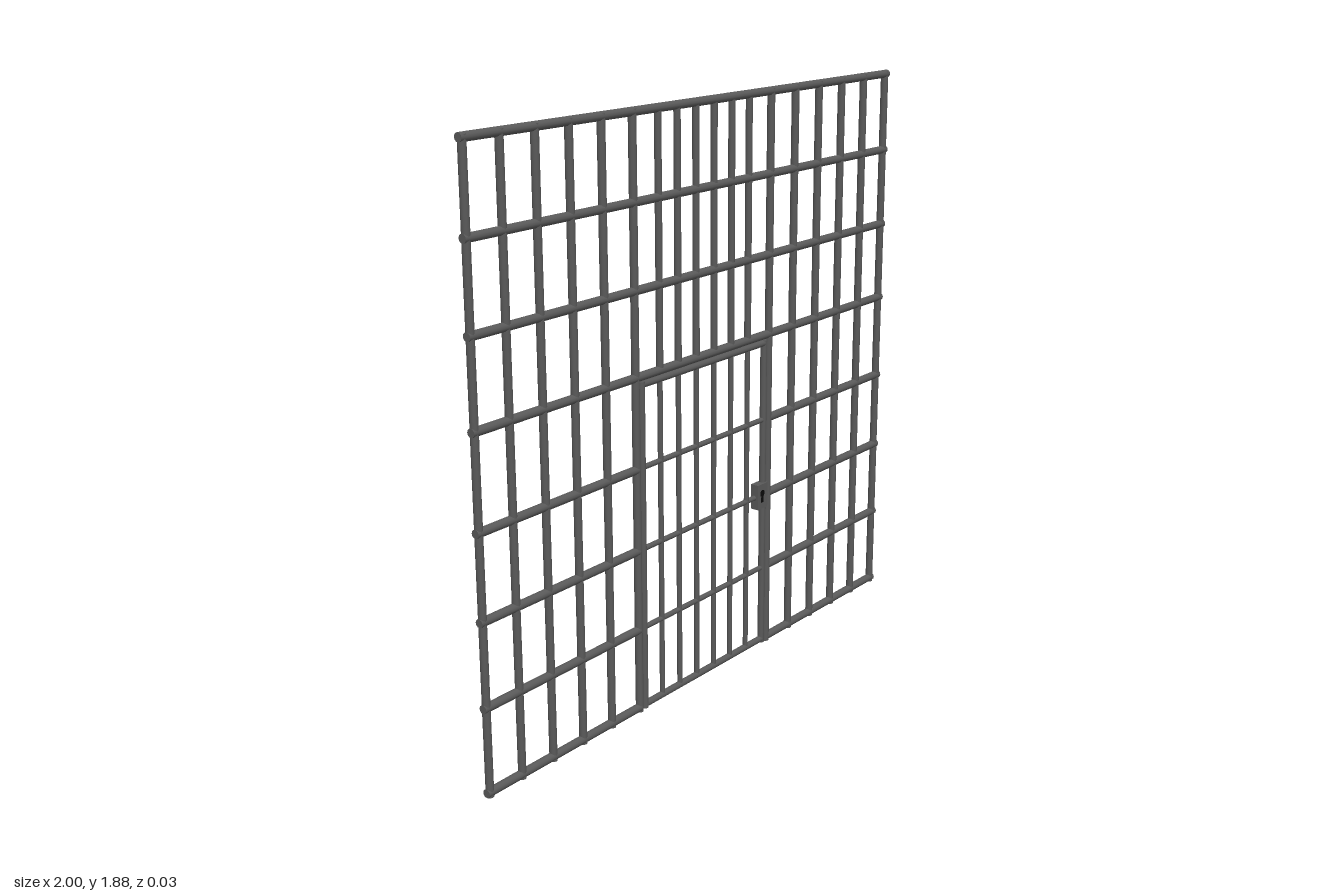
import * as THREE from 'three';

const Z = -0.002; // plane of the bars
const H = 1.885;
const iron = new THREE.MeshStandardMaterial({ color: 0x5a5a5a });
const black = new THREE.MeshStandardMaterial({ color: 0x0a0a0a });

// Round bar between two points in the plane of the wall
function bar(parent, name, x1, y1, x2, y2, r) {
  const length = Math.hypot(x2 - x1, y2 - y1);
  const mesh = new THREE.Mesh(new THREE.CylinderGeometry(r, r, length, 12), iron);
  mesh.position.set((x1 + x2) / 2, (y1 + y2) / 2, Z);
  mesh.rotation.z = Math.atan2(y2 - y1, x2 - x1) - Math.PI / 2;
  mesh.name = name;
  parent.add(mesh);
}

function group(parent, name) {
  const g = new THREE.Group();
  g.name = name;
  parent.add(g);
  return g;
}

export function createModel() {
  const model = new THREE.Group();
  model.name = 'barredWall';
  const wall = group(model, 'wall');
  const door = group(model, 'door');
  const lock = group(door, 'lock');
  const R = 0.0135, doorR = 0.011, thinR = 0.0085;
  const postX = 0.332;

  // Full-width rails above the door
  for (const y of [1.09, 1.353, 1.613, H - R]) bar(wall, 'upperRail', -1, y, 1, y, R);

  // Side rails and upright bars on both sides of the door
  for (const s of [-1, 1]) {
    for (const y of [R, 0.278, 0.54, 0.803]) bar(wall, 'sideRail', s * postX, y, s, y, R);
    for (let i = 0; i < 6; i++) {
      const x = s * (postX + i * 0.131);
      bar(wall, i ? 'sideBar' : 'doorPost', x, 0, x, H - 0.005, 0.0125);
    }
  }

  // Closer bars over and inside the door
  for (let i = 0; i < 6; i++) {
    const x = -0.22 + i * 0.0876;
    bar(wall, 'transomBar', x, 1.09, x, H - R, 0.011);
    bar(door, 'doorBar', x, doorR, x, 1.064, thinR);
  }

  // Door frame and cross rails
  const dx = 0.306;
  for (const s of [-1, 1]) bar(door, 'doorStile', s * dx, 0.003, s * dx, 1.074, doorR);
  for (const y of [0.014, 1.064]) bar(door, 'doorFrameRail', -dx, y, dx, y, doorR);
  for (const y of [0.278, 0.54, 0.803]) bar(door, 'doorRail', -dx, y, dx, y, thinR);

  // Lock case with keyhole on the front
  const box = new THREE.Mesh(new THREE.BoxGeometry(0.052, 0.086, 0.029), iron);
  box.position.set(0.287, 0.543, 0);
  box.name = 'lockCase';
  const hole = new THREE.Shape();
  hole.moveTo(-0.008, -0.032);
  hole.lineTo(0.008, -0.032);
  hole.lineTo(0.006, -0.010);
  hole.absarc(0, 0, 0.012, -Math.PI / 3, Math.PI * 4 / 3, false);
  hole.closePath();
  const keyhole = new THREE.Mesh(new THREE.ShapeGeometry(hole, 16), black);
  keyhole.position.set(0.284, 0.554, 0.0152);
  keyhole.name = 'keyhole';
  lock.add(box, keyhole);

  return model;
}
